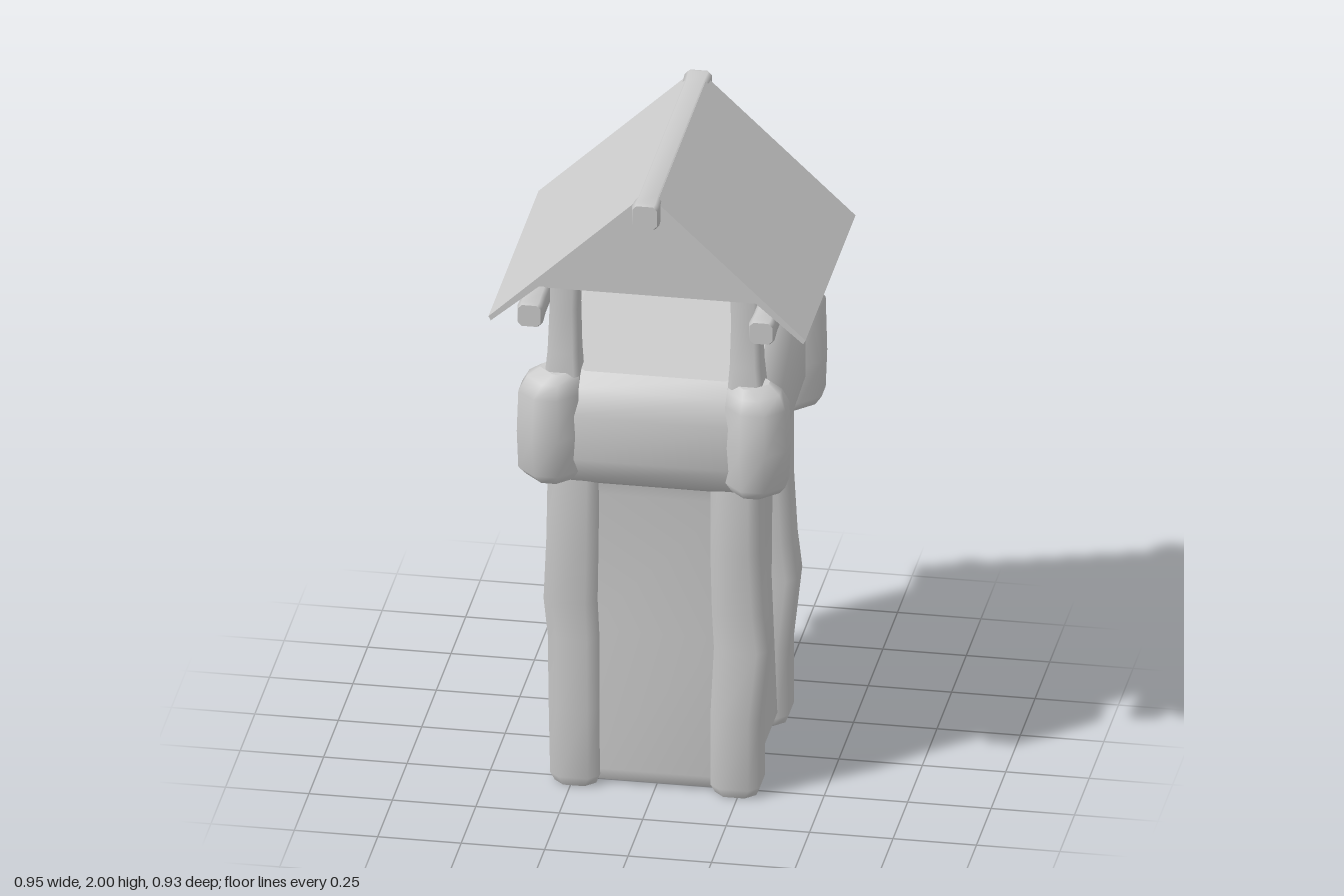
import * as THREE from 'three';

const material = new THREE.MeshStandardMaterial({ color: 0xcccccc });

function add(parent, name, geometry) {
  const mesh = new THREE.Mesh(geometry, material);
  mesh.name = name;
  parent.add(mesh);
  return mesh;
}

// Stack of chamfered rectangles: each ring is [y, centreX, centreZ, halfX, halfZ]
function loft(rings, chamfer) {
  const pos = [], idx = [];
  const ringPoints = ([y, cx, cz, hx, hz]) => {
    const c = Math.min(chamfer, hx * 0.8, hz * 0.8), a = hx - c, b = hz - c;
    return [[hx, -b], [hx, b], [a, hz], [-a, hz], [-hx, b], [-hx, -b], [-a, -hz], [a, -hz]]
      .map(([x, z]) => [cx + x, y, cz + z]);
  };
  const all = rings.map(ringPoints);
  all.forEach((ring) => ring.forEach((p) => pos.push(...p)));
  for (let i = 0; i < rings.length - 1; i++) {
    for (let j = 0; j < 8; j++) {
      const a = i * 8 + j, b = i * 8 + (j + 1) % 8;
      idx.push(a, a + 8, b, b, a + 8, b + 8);
    }
  }
  // Flat end caps
  [0, rings.length - 1].forEach((r, top) => {
    const start = pos.length / 3;
    all[r].forEach((p) => pos.push(...p));
    for (let j = 1; j < 7; j++) {
      if (top) idx.push(start, start + j + 1, start + j);
      else idx.push(start, start + j, start + j + 1);
    }
  });
  const g = new THREE.BufferGeometry();
  g.setAttribute('position', new THREE.Float32BufferAttribute(pos, 3));
  g.setIndex(idx);
  g.computeVertexNormals();
  return g;
}

// Outline pulled along z, centred
function extrudeZ(points, depth) {
  const shape = new THREE.Shape(points.map(([x, y]) => new THREE.Vector2(x, y)));
  return new THREE.ExtrudeGeometry(shape, { depth, bevelEnabled: false }).translate(0, 0, -depth / 2);
}

// Horizontal log running along z, with slightly thicker ends
function log(x, y, half, halfLength) {
  return loft([
    [-halfLength, 0, 0, half * 0.9, half * 0.9],
    [-halfLength + 0.015, 0, 0, half, half],
    [-halfLength + 0.08, 0, 0, half * 0.93, half * 0.93],
    [halfLength - 0.08, 0, 0, half * 0.93, half * 0.93],
    [halfLength - 0.015, 0, 0, half, half],
    [halfLength, 0, 0, half * 0.9, half * 0.9],
  ], 0.012).rotateX(Math.PI / 2).translate(x, y, 0);
}

export function createModel() {
  const tower = new THREE.Group();
  tower.name = 'watchtower';

  // Main shaft, set back between the corner posts
  add(tower, 'shaft', loft([
    [0.01, 0, 0.01, 0.27, 0.26],
    [0.05, 0, 0.015, 0.285, 0.27],
    [0.5, 0, 0.02, 0.268, 0.255],
    [0.95, 0, 0.02, 0.272, 0.26],
    [1.05, 0, 0.01, 0.3, 0.3],
  ], 0.05));

  // Bulging platform with a deck rising towards the back
  const platform = loft([
    [1.01, 0, 0, 0.29, 0.29],
    [1.04, 0, 0, 0.335, 0.335],
    [1.12, 0, 0, 0.36, 0.36],
    [1.26, 0, 0, 0.36, 0.36],
    [1.34, 0, 0, 0.335, 0.335],
    [1.375, 0, 0, 0.29, 0.29],
  ], 0.08);
  const p = platform.attributes.position;
  for (let i = 0; i < p.count; i++) p.setY(i, p.getY(i) - 0.07 * p.getZ(i));
  platform.computeVertexNormals();
  add(tower, 'platform', platform);

  // Corners: rough shaft post, platform block and roof post
  const heights = [0, 0.03, 0.25, 0.48, 0.6, 0.8, 1.04];
  const bulgeRight = [0, 0, 0, 0.018, 0.008, 0, 0];
  const bulgeLeft = [0, 0, 0.003, 0.005, 0.014, 0.008, 0.005];
  [[1, 1], [-1, 1], [-1, -1], [1, -1]].forEach(([sx, sz], k) => {
    const corner = new THREE.Group();
    corner.name = 'corner' + (k + 1);
    tower.add(corner);

    const bulge = sx > 0 ? bulgeRight : bulgeLeft;
    add(corner, 'cornerPost', loft(heights.map((y, i) => {
      const h = i === 0 ? 0.062 : 0.074;
      return [y, sx * (0.24 + bulge[i]), sz * 0.248, h + 0.4 * bulge[i], h];
    }), 0.03));

    const top = sz > 0 ? 1.36 : 1.405;
    const c = 0.31;
    add(corner, 'cornerBlock', loft([
      [1.02, sx * 0.303, sz * 0.303, 0.077, 0.077],
      [1.05, sx * c, sz * c, 0.09, 0.09],
      [1.17, sx * c, sz * c, 0.094, 0.094],
      [top - 0.06, sx * c, sz * c, 0.09, 0.09],
      [top - 0.02, sx * 0.3, sz * 0.3, 0.078, 0.078],
      [top, sx * 0.285, sz * 0.285, 0.057, 0.057],
    ], 0.055));

    add(corner, 'roofPost', loft([
      [1.3, sx * 0.275, sz * 0.275, 0.056, 0.056],
      [1.42, sx * 0.273, sz * 0.272, 0.046, 0.05],
      [1.56, sx * 0.272, sz * 0.27, 0.042, 0.046],
      [1.68, sx * 0.272, sz * 0.27, 0.046, 0.05],
    ], 0.015));
  });

  // Low sloping panel and doorstep at the back
  add(tower, 'backPanel', loft([
    [0.01, 0, -0.27, 0.18, 0.045],
    [0.06, 0, -0.265, 0.175, 0.04],
    [0.32, 0, -0.25, 0.165, 0.028],
    [0.35, 0, -0.24, 0.15, 0.015],
  ], 0.01));
  add(tower, 'doorstep', loft([
    [0.01, -0.02, -0.34, 0.2, 0.06],
    [0.03, -0.02, -0.33, 0.195, 0.05],
  ], 0.012));

  // Roof boards wrapped over the ridge beam, gable infill and eave logs
  add(tower, 'roof', extrudeZ([
    [0.03, 1.994], [-0.03, 1.994], [-0.475, 1.578], [-0.468, 1.565],
    [0, 1.965], [0.468, 1.565], [0.475, 1.578],
  ], 0.855));
  add(tower, 'gables', extrudeZ([
    [-0.34, 1.638], [0.34, 1.638], [0.375, 1.65], [0, 1.97], [-0.375, 1.65],
  ], 0.66));
  add(tower, 'ridgeBeam', log(0, 1.959, 0.041, 0.467));
  for (const s of [1, -1]) add(tower, 'eaveLog', log(s * 0.347, 1.605, 0.038, 0.46));

  return tower;
}
